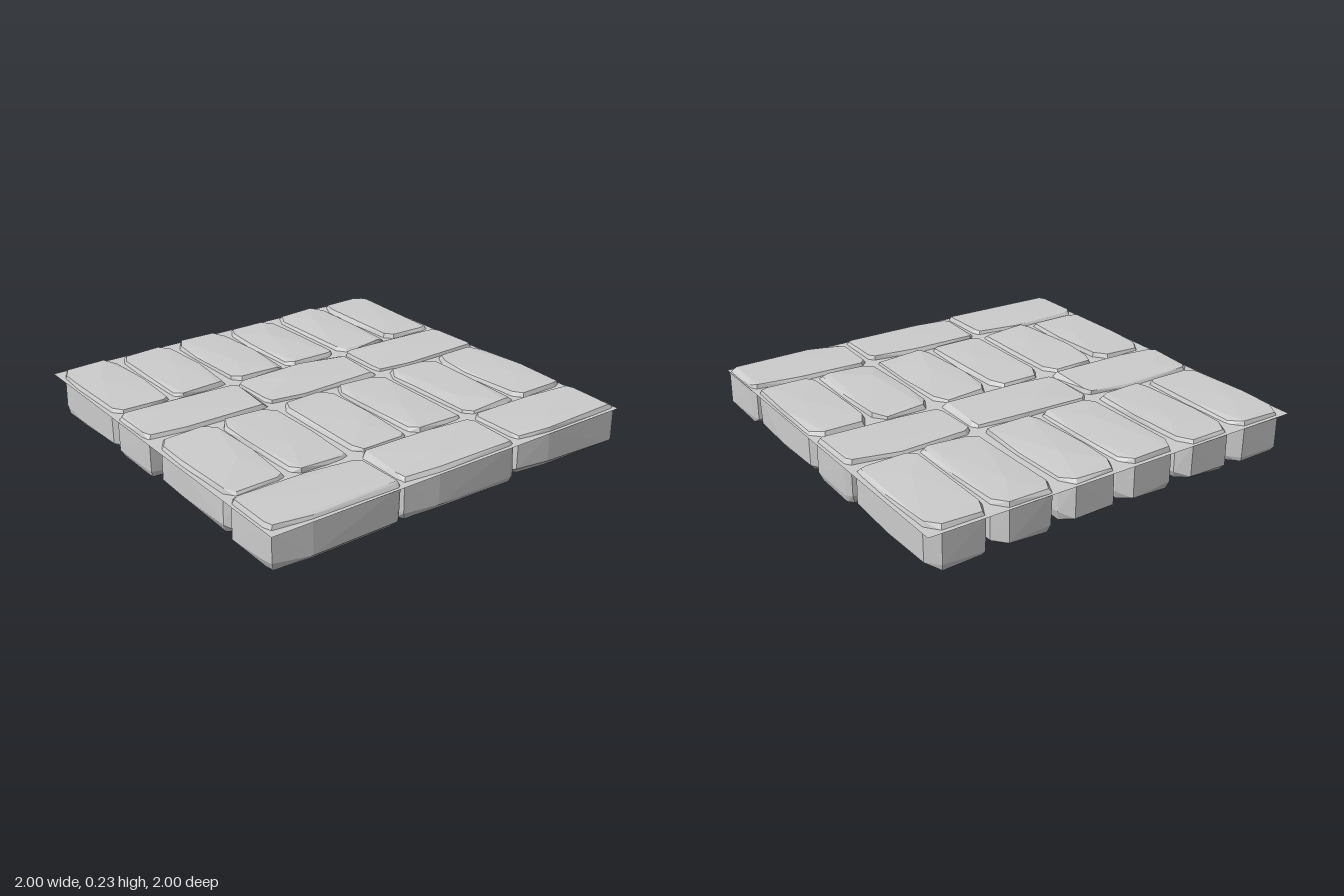
import * as THREE from 'three';
import { ConvexGeometry } from 'three/addons/geometries/ConvexGeometry.js';

// Small seeded generator for the chiselled irregularities
function makeRandom(seed) {
  return () => {
    seed = (seed * 16807) % 2147483647;
    return seed / 2147483647;
  };
}

// Plan outlines with worn corners, as fractions of width (x) and depth (z)
const wideOutline = [[0, 0.18], [0.1, 0.02], [0.55, 0], [0.98, 0.03], [1, 0.15],
  [1, 0.85], [0.93, 0.97], [0.4, 1], [0.12, 0.98], [0, 0.85]];
const longOutline = [[0.1, 0.03], [0.2, 0], [0.97, 0], [1, 0.03], [1, 0.7],
  [0.93, 0.98], [0.8, 1], [0.1, 1], [0, 0.95], [0, 0.4]];

// Chiselled stone: the hull of four rings, pulled in at the bottom and top
function stoneGeometry(outline, x0, x1, z0, z1, random) {
  const cx = (x0 + x1) / 2, cz = (z0 + z1) / 2;
  const hx = (x1 - x0) / 2, hz = (z1 - z0) / 2;
  // height, height variation, inset, inset variation
  const rings = [
    [0.005, 0.008, 0.01, 0.03],
    [0.03, 0.025, 0, 0.006],
    [0.185, 0.015, 0, 0.006],
    [0.211, 0.013, 0.008, 0.012],
  ];
  const points = [];
  for (const [y, dy, inset, dInset] of rings) {
    for (const [u, v] of outline) {
      const d = inset + random() * dInset;
      points.push(new THREE.Vector3(
        cx + (u * 2 - 1) * (hx - d),
        y + random() * dy,
        cz + (v * 2 - 1) * (hz - d)));
    }
  }
  // Flat foot and a gentle crown
  points.push(new THREE.Vector3(cx, 0, cz));
  points.push(new THREE.Vector3(cx + (random() - 0.5) * hx, 0.226, cz + (random() - 0.5) * hz));
  return new ConvexGeometry(points);
}

export function createModel() {
  const group = new THREE.Group();
  group.name = 'stonePaving';
  const stone = new THREE.MeshStandardMaterial({ color: 0xcccccc, side: THREE.DoubleSide });
  stone.name = 'stoneGrey';
  const random = makeRandom(4711);

  // Columns: x range, outline and the z range of every stone
  const columns = [
    { name: 'leftWideStone', x: [-0.985, -0.345], outline: wideOutline,
      z: [[-0.985, -0.67], [-0.665, -0.34], [-0.32, -0.005], [0, 0.325], [0.345, 0.66], [0.665, 0.99]] },
    { name: 'middleLongStone', x: [-0.34, 0], outline: longOutline,
      z: [[-0.99, -0.345], [-0.33, 0.325], [0.335, 0.99]] },
    { name: 'centreWideStone', x: [0.008, 0.645], outline: wideOutline,
      z: [[-0.995, -0.675], [-0.67, -0.345], [-0.33, -0.01], [-0.002, 0.315], [0.33, 0.655], [0.66, 0.985]] },
    { name: 'outerLongStone', x: [0.65, 0.987], outline: longOutline,
      z: [[-0.998, -0.355], [-0.33, 0.315], [0.33, 0.99]] },
  ];
  for (const { name, x, outline, z } of columns) {
    z.forEach(([z0, z1], i) => {
      const mesh = new THREE.Mesh(stoneGeometry(outline, x[0], x[1], z0, z1, random), stone);
      mesh.name = name + (i + 1);
      group.add(mesh);
    });
  }

  // Thin mortar sheet filling the joints
  const mortar = new THREE.Mesh(new THREE.PlaneGeometry(2, 2).rotateX(-Math.PI / 2), stone);
  mortar.name = 'mortarSheet';
  mortar.position.y = 0.2;
  group.add(mortar);

  return group;
}
